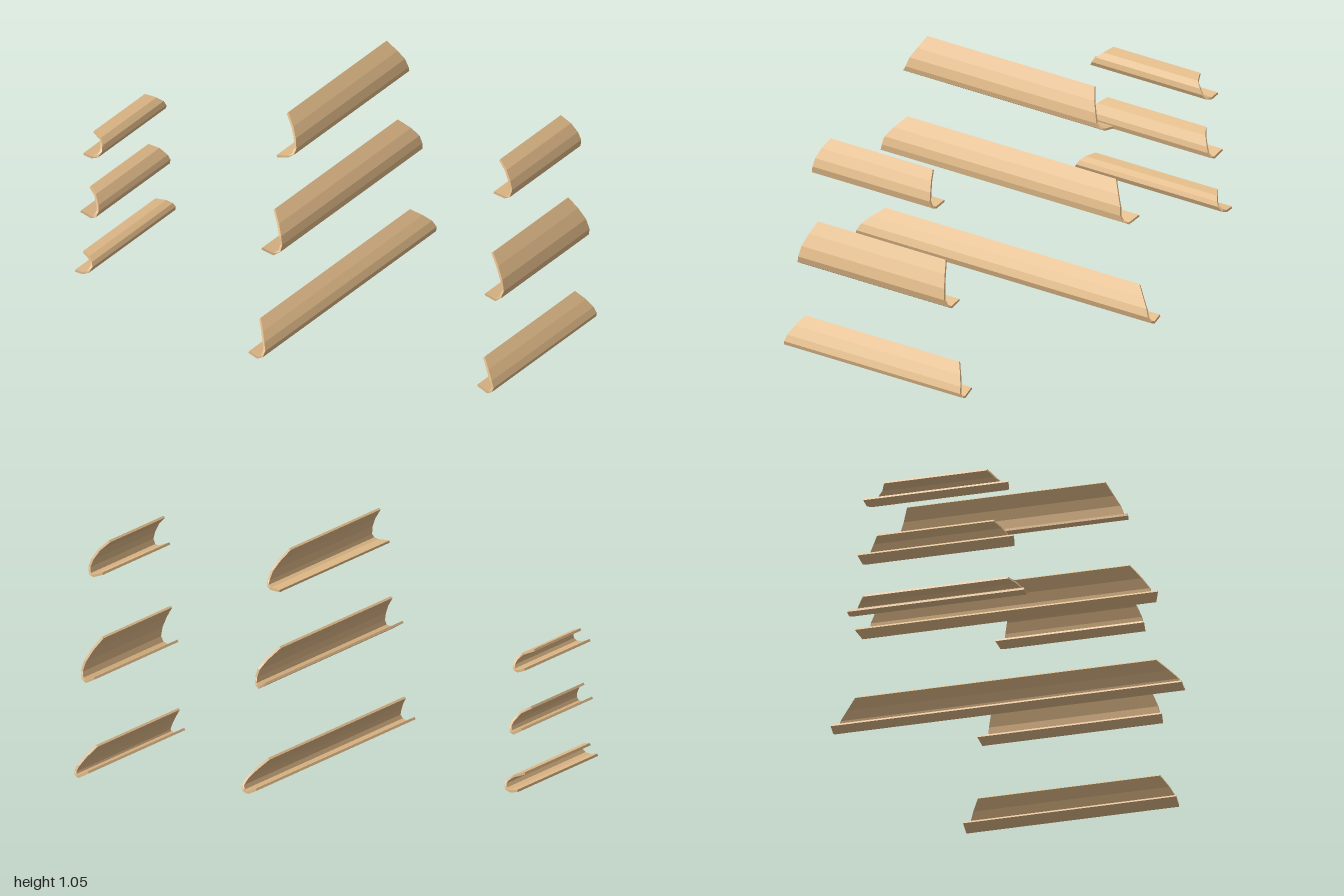
import * as THREE from 'three';

const THICKNESS = 0.01;

// Each strip: outer profile from top edge round to the lower lip, as [x, y, half length].
const STRIPS = {
  leftUpperStrip: [[-0.998, 0.685, 0.22], [-0.955, 0.67, 0.24], [-0.935, 0.648, 0.265], [-0.93, 0.625, 0.28], [-0.94, 0.605, 0.295], [-0.965, 0.6, 0.305], [-1, 0.612, 0.31]],
  leftMiddleStrip: [[-0.998, 0.45, 0.25], [-0.96, 0.43, 0.275], [-0.935, 0.395, 0.3], [-0.928, 0.372, 0.31], [-0.935, 0.35, 0.32], [-0.955, 0.342, 0.325], [-1, 0.365, 0.335]],
  leftLowerStrip: [[-0.998, 0.184, 0.31], [-0.96, 0.175, 0.335], [-0.938, 0.16, 0.35], [-0.93, 0.142, 0.36], [-0.94, 0.12, 0.375], [-0.965, 0.111, 0.38], [-1, 0.115, 0.38]],
  centreUpperStrip: [[0.02, 1.052, 0.425], [0.057, 1.005, 0.45], [0.08, 0.965, 0.472], [0.09, 0.925, 0.485], [0.085, 0.902, 0.5], [0.065, 0.89, 0.51], [0.018, 0.886, 0.52]],
  centreMiddleStrip: [[0.015, 0.66, 0.53], [0.055, 0.615, 0.57], [0.08, 0.575, 0.598], [0.089, 0.54, 0.605], [0.085, 0.512, 0.615], [0.06, 0.498, 0.63], [0.015, 0.523, 0.65]],
  centreLowerStrip: [[0.01, 0.215, 0.645], [0.045, 0.178, 0.69], [0.07, 0.145, 0.725], [0.083, 0.115, 0.74], [0.075, 0.09, 0.75], [0.05, 0.08, 0.752], [0.01, 0.098, 0.752]],
  rightUpperStrip: [[0.922, 0.965, 0.26], [0.96, 0.93, 0.278], [0.985, 0.89, 0.292], [0.997, 0.855, 0.298], [0.99, 0.825, 0.305], [0.968, 0.816, 0.31], [0.92, 0.832, 0.318]],
  rightMiddleStrip: [[0.922, 0.573, 0.325], [0.957, 0.525, 0.345], [0.985, 0.475, 0.362], [0.997, 0.43, 0.37], [0.988, 0.4, 0.38], [0.965, 0.386, 0.387], [0.92, 0.407, 0.395]],
  rightLowerStrip: [[0.918, 0.13, 0.39], [0.952, 0.09, 0.42], [0.978, 0.052, 0.44], [0.99, 0.025, 0.446], [0.985, 0.008, 0.45], [0.965, 0, 0.456], [0.918, 0.024, 0.456]],
};

// Closed thin shell running along z, its ends cut back by the half length of each profile point.
function stripGeometry(outer) {
  const n = outer.length;
  const inner = outer.map(([x, y, h], i) => {
    const a = outer[Math.max(i - 1, 0)], b = outer[Math.min(i + 1, n - 1)];
    const t = new THREE.Vector2(b[0] - a[0], b[1] - a[1]).normalize();
    return [x + t.y * THICKNESS, y - t.x * THICKNESS, h];
  });
  const positions = [];
  const quad = (...c) => [0, 1, 2, 0, 2, 3].forEach((k) => {
    const [[x, y, h], side] = c[k];
    positions.push(x, y, h * side);
  });

  // long faces: outside, lip edge, inside, top edge
  const loop = [...outer, ...inner.slice().reverse()];
  loop.forEach((p, i) => {
    const q = loop[(i + 1) % loop.length];
    quad([p, 1], [q, 1], [q, -1], [p, -1]);
  });
  // thin rims at both ends
  for (let i = 0; i < n - 1; i++) {
    quad([outer[i], 1], [inner[i], 1], [inner[i + 1], 1], [outer[i + 1], 1]);
    quad([outer[i], -1], [outer[i + 1], -1], [inner[i + 1], -1], [inner[i], -1]);
  }
  const geometry = new THREE.BufferGeometry();
  geometry.setAttribute('position', new THREE.Float32BufferAttribute(positions, 3));
  geometry.computeVertexNormals();
  return geometry;
}

export function createModel() {
  const group = new THREE.Group();
  group.name = 'curvedStrips';
  const material = new THREE.MeshStandardMaterial({ color: 0xdeb887, flatShading: true, side: THREE.DoubleSide });
  for (const [name, profile] of Object.entries(STRIPS)) {
    const mesh = new THREE.Mesh(stripGeometry(profile), material);
    mesh.name = name;
    group.add(mesh);
  }
  return group;
}
